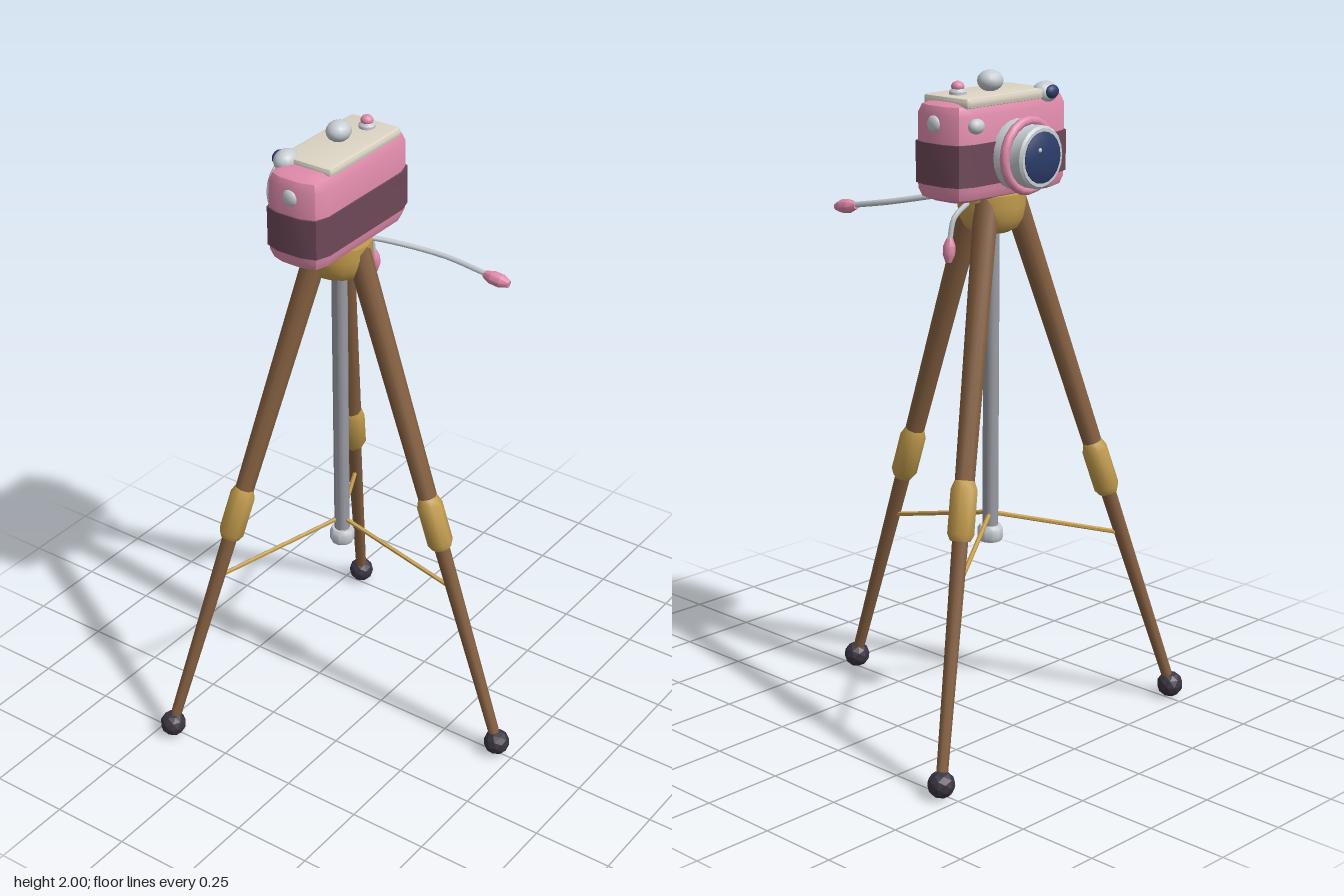
import * as THREE from 'three';
import { toCreasedNormals } from 'three/addons/utils/BufferGeometryUtils.js';

const colours = {
  pink: 0xe08bab, plum: 0x6e4858, cream: 0xddd5c5, silver: 0xc6ccd2, steel: 0x999ba3,
  brass: 0xc49d4e, wood: 0x856041, rubber: 0x3a3441, glass: 0x2c3c6a,
};
const CZ = -0.15; // z of the tripod's centre line

export function createModel() {
  const model = new THREE.Group();
  model.name = 'cameraOnTripod';
  const mats = {};
  for (const [name, color] of Object.entries(colours)) {
    mats[name] = new THREE.MeshStandardMaterial({ color });
    mats[name].name = name;
  }
  const V = (x, y, z) => new THREE.Vector3(x, y, z);

  function add(parent, name, geometry, mat, x = 0, y = 0, z = 0) {
    const mesh = new THREE.Mesh(geometry, mats[mat]);
    mesh.name = name;
    mesh.position.set(x, y, z);
    parent.add(mesh);
    return mesh;
  }
  const lathe = (pts, sides, crease = 0.6) =>
    toCreasedNormals(new THREE.LatheGeometry(pts.map(p => new THREE.Vector2(...p)), sides), crease);
  // Aligns a geometry built around the y axis with the line from a to b
  function along(mesh, a, b) {
    mesh.position.copy(a).add(b).multiplyScalar(0.5);
    mesh.quaternion.setFromUnitVectors(V(0, 1, 0), b.clone().sub(a).normalize());
    return mesh;
  }
  const rod = (parent, name, mat, a, b, r0, r1, sides = 8) =>
    along(add(parent, name, toCreasedNormals(new THREE.CylinderGeometry(r1, r0, a.distanceTo(b), sides), 0.9), mat), a, b);
  function blob(parent, name, mat, pos, rx, ry, rz) {
    const g = new THREE.SphereGeometry(1, 14, 10).scale(rx, ry, rz);
    return add(parent, name, g, mat, ...pos);
  }
  // Slab with clipped corners in plan, optionally bevelled at top and bottom
  function slab(w, d, y0, y1, corner, bevel) {
    const a = w / 2 - bevel, b = d / 2 - bevel, c = corner;
    const s = new THREE.Shape();
    s.moveTo(-a + c, -b);
    s.lineTo(a - c, -b); s.quadraticCurveTo(a, -b, a, -b + c);
    s.lineTo(a, b - c); s.quadraticCurveTo(a, b, a - c, b);
    s.lineTo(-a + c, b); s.quadraticCurveTo(-a, b, -a, b - c);
    s.lineTo(-a, -b + c); s.quadraticCurveTo(-a, -b, -a + c, -b);
    const g = new THREE.ExtrudeGeometry(s, {
      depth: y1 - y0 - 2 * bevel, curveSegments: 2, bevelEnabled: bevel > 0,
      bevelSize: bevel, bevelThickness: bevel, bevelSegments: 2,
    });
    g.rotateX(-Math.PI / 2).translate(0, y0 + bevel, 0);
    return toCreasedNormals(g, 0.7);
  }

  // Three identical legs around the centre line
  const tripod = new THREE.Group();
  tripod.name = 'tripod';
  tripod.position.z = CZ;
  model.add(tripod);
  const foot = V(0, 0.04, 0.595), top = V(0, 1.63, 0.065);
  const onLeg = y => foot.clone().lerp(top, (y - foot.y) / (top.y - foot.y));
  for (let i = 0; i < 3; i++) {
    const leg = new THREE.Group();
    leg.name = 'leg' + (i + 1);
    leg.rotation.y = i * Math.PI * 2 / 3;
    tripod.add(leg);
    rod(leg, 'upperLeg', 'wood', onLeg(0.8), top, 0.029, 0.037);
    rod(leg, 'lowerLeg', 'wood', foot, onLeg(0.8), 0.017, 0.025);
    const collar = lathe([[0, -0.088], [0.03, -0.088], [0.04, -0.068], [0.04, 0.06], [0.029, 0.088], [0, 0.088]], 8, 0.9);
    along(add(leg, 'legCollar', collar, 'brass'), onLeg(0.7), onLeg(0.86));
    const tip = toCreasedNormals(new THREE.IcosahedronGeometry(0.041, 1), 0.1);
    add(leg, 'rubberFoot', tip, 'rubber', 0, 0.04, 0.595);
    rod(leg, 'brace', 'brass', V(0, 0.66, 0.02), onLeg(0.56), 0.007, 0.007, 6);
  }

  // Centre column and head
  add(tripod, 'centreColumn', toCreasedNormals(new THREE.CylinderGeometry(0.024, 0.024, 1, 10), 0.9), 'steel', 0, 1.1, 0);
  add(tripod, 'columnCap', lathe([[0, 0.577], [0.034, 0.577], [0.039, 0.587], [0.039, 0.615], [0.032, 0.626], [0, 0.626]], 10), 'silver');
  add(tripod, 'tripodHead', lathe([[0, 1.528], [0.05, 1.528], [0.078, 1.542], [0.094, 1.57], [0.1, 1.605], [0.1, 1.645], [0, 1.645]], 16), 'brass');

  // Pan handle and hanging release cable, both ending in a pink grip
  const handle = [V(0.04, 1.645, -0.1), V(0.075, 1.635, -0.05), V(0.15, 1.6, 0.115), V(0.167, 1.575, 0.25)];
  const cable = [V(0.04, 1.645, -0.148), V(0.09, 1.625, -0.148), V(0.155, 1.585, -0.148), V(0.172, 1.525, -0.148)];
  for (const [name, pts, r] of [['panHandle', handle, 0.009], ['releaseCable', cable, 0.008]]) {
    const curve = new THREE.CatmullRomCurve3(pts);
    add(model, name, new THREE.TubeGeometry(curve, 12, r, 6), 'silver');
  }
  const grip = lathe([[0, -0.043], [0.011, -0.041], [0.021, -0.015], [0.021, 0.015], [0.011, 0.041], [0, 0.043]], 8, 0.8);
  along(add(model, 'handleGrip', grip, 'pink'), V(0.167, 1.573, 0.244), V(0.173, 1.56, 0.33));
  along(add(model, 'cableGrip', grip.clone().scale(0.85, 0.85, 0.85), 'pink'), V(0.172, 1.53, -0.148), V(0.178, 1.46, -0.148));

  // Camera body
  const camera = new THREE.Group();
  camera.name = 'camera';
  model.add(camera);
  add(camera, 'body', slab(0.47, 0.192, 1.64, 1.925, 0.03, 0.035), 'pink', 0, 0, CZ);
  add(camera, 'leatherBand', slab(0.48, 0.202, 1.69, 1.81, 0.06, 0), 'plum', 0, 0, CZ);
  add(camera, 'topPlate', slab(0.352, 0.178, 1.91, 1.94, 0.01, 0.008), 'cream', 0.023, 0, -0.154);

  // Controls on the top, sides and back
  blob(camera, 'windingKnob', 'silver', [0.022, 1.969, -0.163], 0.041, 0.031, 0.036);
  add(camera, 'shutterCollar', lathe([[0.025, 1.935], [0.025, 1.948], [0.019, 1.956], [0, 1.956]], 12), 'silver', 0.142, 0, CZ);
  blob(camera, 'shutterButton', 'pink', [0.142, 1.962, CZ], 0.019, 0.016, 0.019);
  blob(camera, 'viewfinder', 'silver', [-0.145, 1.926, -0.224], 0.043, 0.032, 0.034);
  blob(camera, 'viewfinderGlass', 'glass', [-0.145, 1.929, -0.251], 0.026, 0.02, 0.014);
  blob(camera, 'rearButton', 'silver', [0.172, 1.862, -0.252], 0.028, 0.022, 0.02);
  for (const s of [-1, 1]) blob(camera, 'strapLug', 'silver', [s * 0.233, 1.865, -0.146], 0.014, 0.025, 0.025);

  // Lens, built along y and turned to point to -z
  const lens = new THREE.Group();
  lens.name = 'lens';
  lens.position.set(0, 1.765, -0.24);
  lens.rotation.x = -Math.PI / 2;
  camera.add(lens);
  add(lens, 'lensBarrel', lathe([[0, 0], [0.102, 0], [0.102, 0.04], [0.091, 0.06], [0.091, 0.1], [0.084, 0.107], [0, 0.107]], 20), 'silver');
  add(lens, 'focusRing', new THREE.TorusGeometry(0.1, 0.014, 8, 20).rotateX(Math.PI / 2), 'pink', 0, 0.053, 0);
  add(lens, 'lensGlass', lathe([[0.076, 0.1], [0.074, 0.109], [0.055, 0.117], [0.03, 0.121], [0, 0.122]], 20), 'glass');
  add(lens, 'glassGlint', new THREE.SphereGeometry(0.007, 8, 6).scale(1, 0.5, 1), 'silver', 0.025, 0.12, 0.025);

  return model;
}
